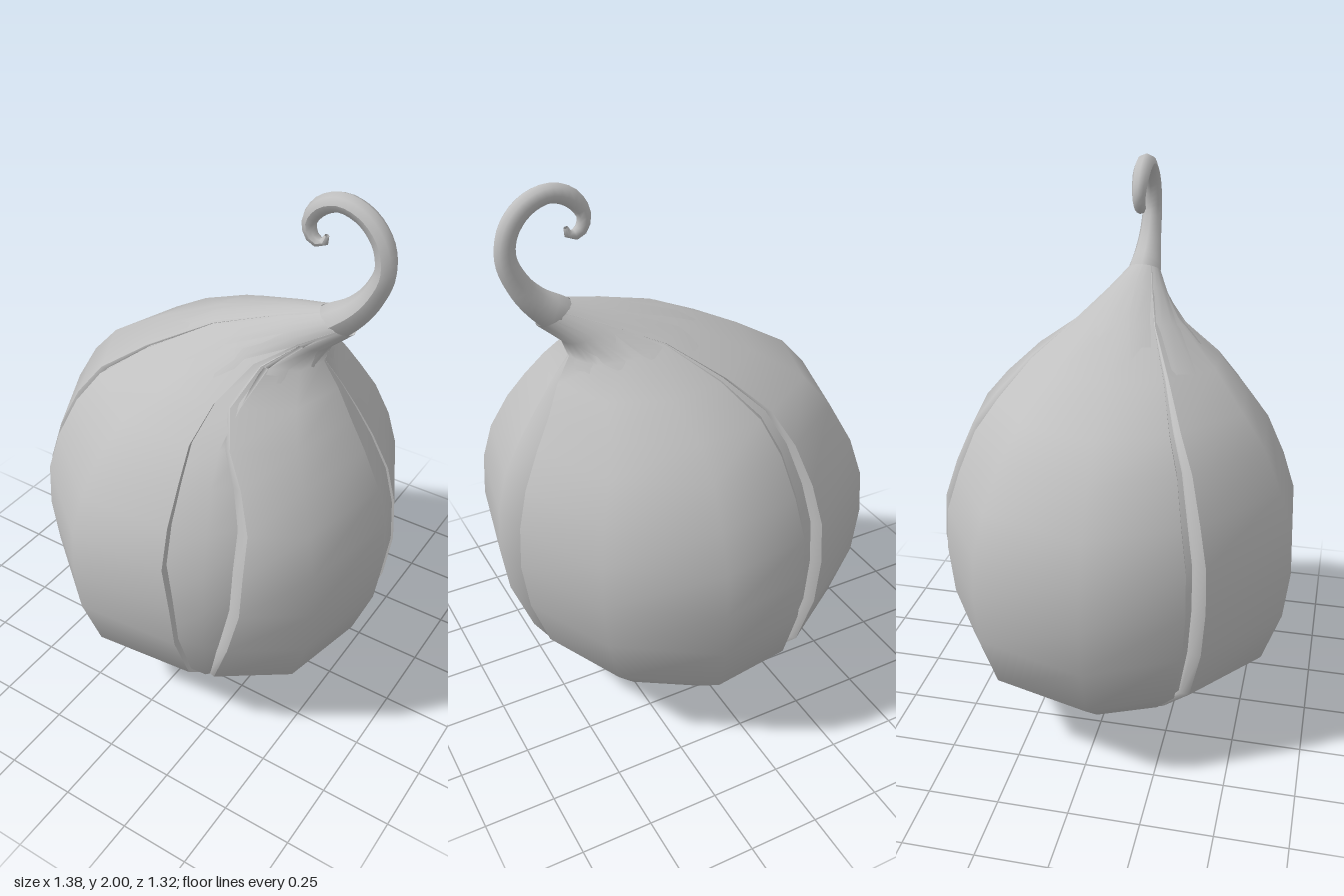
import * as THREE from 'three';

const skin = new THREE.MeshStandardMaterial({ color: 0xc0c0c0, side: THREE.DoubleSide });
skin.name = 'pale grey skin';

// Leaning cross-sections, bottom to top: left x, left y, right x, right y, half depth
const rings = [
  [-0.18, 0, 0.18, 0, 0.17], [-0.23, 0.03, 0.24, 0.03, 0.22], [-0.4, 0.15, 0.43, 0.15, 0.41],
  [-0.6, 0.32, 0.59, 0.32, 0.6], [-0.675, 0.52, 0.665, 0.52, 0.67], [-0.695, 0.7, 0.69, 0.7, 0.69],
  [-0.685, 0.86, 0.68, 0.86, 0.68], [-0.64, 1, 0.645, 1, 0.63], [-0.55, 1.15, 0.58, 1.13, 0.56],
  [-0.45, 1.26, 0.52, 1.23, 0.47], [-0.25, 1.38, 0.46, 1.33, 0.35], [0, 1.5, 0.4, 1.41, 0.2],
  [0.24, 1.575, 0.42, 1.47, 0.11], [0.38, 1.61, 0.5, 1.54, 0.06],
];
// How far the seams open at each ring
const open = [0, 0.2, 0.6, 0.9, 1, 1, 1, 1, 0.9, 0.8, 0.5, 0.2, 0, 0];
// Edges of the two leaves beside the narrow front gap, in degrees per ring
const gapLeft = [60, 60, 61, 68, 71, 72, 74, 74, 73, 74, 76, 76, 74, 70];
const gapRight = [60, 60, 60, 59, 55, 52, 51, 50, 52, 58, 67, 69, 70, 70];

const at = (a, j) => (Array.isArray(a) ? a[j] : typeof a === 'function' ? a(j) : a);

// Point on ring j; angles run from +x towards +z
function ringPoint(j, degrees, scale) {
  const [xl, yl, xr, yr, rz] = rings[j];
  const a = THREE.MathUtils.degToRad(degrees);
  const c = Math.cos(a) * scale;
  return [(xl + xr) / 2 + c * (xr - xl) / 2, (yl + yr) / 2 + c * (yr - yl) / 2,
    0.005 + 0.01 * j / 13 + Math.sin(a) * rz * scale];
}

// Surface through columns of [angle, scale], where scale(j) or a number
function loft(columns) {
  const pos = [], index = [], n = columns.length;
  rings.forEach((_, j) => columns.forEach(([a, s]) => pos.push(...ringPoint(j, at(a, j), at(s, j)))));
  for (let j = 0; j < rings.length - 1; j++) {
    for (let i = 0; i < n - 1; i++) {
      const p = j * n + i;
      index.push(p, p + n, p + 1, p + 1, p + n, p + n + 1);
    }
  }
  const g = new THREE.BufferGeometry();
  g.setAttribute('position', new THREE.Float32BufferAttribute(pos, 3));
  g.setIndex(index);
  g.computeVertexNormals();
  return g;
}

function addMesh(parent, name, geometry) {
  const mesh = new THREE.Mesh(geometry, skin);
  mesh.name = name;
  parent.add(mesh);
}

// One leaf with a turned-in lip along each edge; lips = degrees [start, end]
function addLeaf(parent, name, columns, lips) {
  const leaf = new THREE.Group();
  leaf.name = name;
  const cols = columns.map(([a, s]) => [a, (j) => 1 + (s - 1) * open[j]]);
  addMesh(leaf, name + 'Face', loft(cols));
  const last = cols.length - 1;
  const turned = (col, d) => {
    const a = (j) => at(col[0], j) + d * open[j];
    return [[a, (j) => col[1](j) * (1 - 0.04 * open[j])], [a, (j) => 1 - 0.17 * open[j]]];
  };
  const [s1, s2] = turned(cols[0], -lips[0]);
  addMesh(leaf, name + 'StartLip', loft([s2, s1, cols[0]]));
  addMesh(leaf, name + 'EndLip', loft([cols[last], ...turned(cols[last], lips[1])]));
  parent.add(leaf);
}

// Tapering curled stem
function stemGeometry() {
  const path = [[0.38, 1.53], [0.44, 1.575], [0.5, 1.625], [0.55, 1.69], [0.585, 1.78], [0.57, 1.87], [0.51, 1.94],
    [0.43, 1.966], [0.36, 1.94], [0.32, 1.88], [0.335, 1.83], [0.37, 1.82], [0.383, 1.848]];
  const radii = [0.06, 0.062, 0.05, 0.041, 0.036, 0.035, 0.034, 0.033, 0.031, 0.025, 0.021, 0.017, 0.008];
  const curve = new THREE.CatmullRomCurve3(path.map(([x, y]) => new THREE.Vector3(x, y, 0.015)));
  const steps = 36, sides = 8;
  const g = new THREE.TubeGeometry(curve, steps, 1, sides, false);
  const p = g.attributes.position, v = new THREE.Vector3();
  for (let i = 0; i <= steps; i++) {
    const t = curve.getUtoTmapping(i / steps);
    const c = curve.getPoint(t);
    const f = t * (radii.length - 1), k = Math.min(Math.floor(f), radii.length - 2);
    const r = THREE.MathUtils.lerp(radii[k], radii[k + 1], f - k);
    for (let s = 0; s <= sides; s++) {
      const n = i * (sides + 1) + s;
      v.fromBufferAttribute(p, n).sub(c).multiplyScalar(r).add(c);
      p.setXYZ(n, v.x, v.y, v.z);
    }
  }
  g.computeVertexNormals();
  return g;
}

export function createModel() {
  const model = new THREE.Group();
  model.name = 'curledBulb';

  // Inner body seen through the seams, and its flat base
  const around = Array.from({ length: 25 }, (_, i) => [i * 15, (j) => 1 - 0.14 * open[j]]);
  addMesh(model, 'innerBody', loft(around));
  const base = new THREE.CircleGeometry(0.175, 24).rotateX(Math.PI / 2);
  base.translate(0, 0.001, 0.005);
  addMesh(model, 'base', base);

  // Overlapping leaves
  addLeaf(model, 'leftLeaf', [[(j) => 144 + 3 * open[j], 0.913], [178, 1], [213, 0.985],
    [(j) => 250 - 5 * open[j], 0.91]], [1, 1]);
  addLeaf(model, 'frontLeaf', [[gapLeft, 0.96], [105, 0.985],
    [(j) => 144 - 3.5 * open[j], 0.92]], [0.5, 2.5]);
  addLeaf(model, 'narrowLeaf', [[(j) => gapRight[j] - 8 * open[j], 0.9], [62, 0.965],
    [(j) => gapLeft[j] + 6 * open[j], 0.9]], [0, 0]);
  addLeaf(model, 'rightLeaf', [[(j) => 2.5 * open[j], 1], [33, 1.06], [gapRight, 0.98]], [11, 2.5]);
  addLeaf(model, 'backLeaf', [[(j) => 250 + 5 * open[j], 0.92], [284, 0.995], [319, 0.965],
    [(j) => 360 - 9 * open[j], 0.97]], [2.5, 0.5]);

  addMesh(model, 'curledStem', stemGeometry());
  return model;
}
